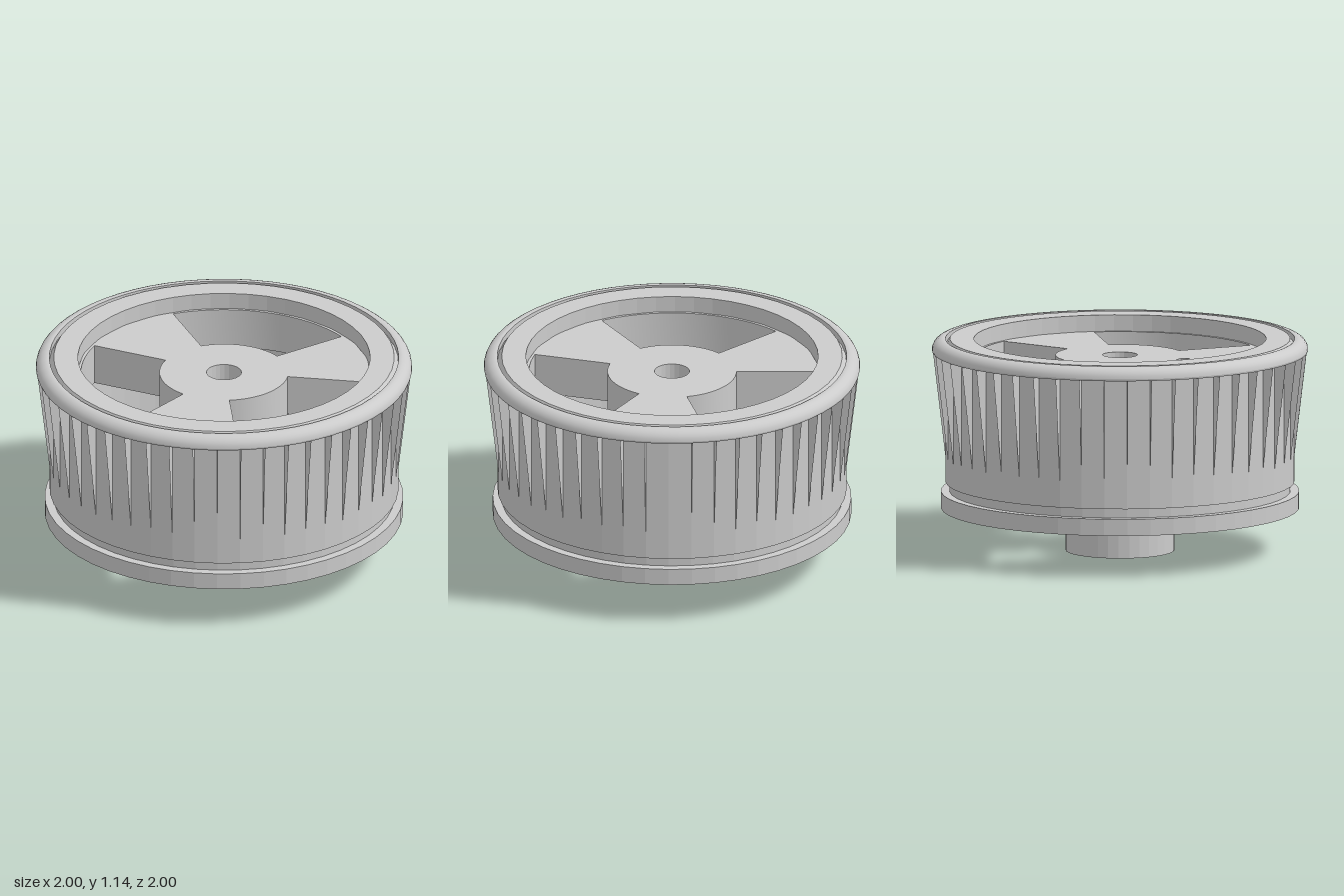
import * as THREE from 'three';
import { toCreasedNormals } from 'three/addons/utils/BufferGeometryUtils.js';

const material = new THREE.MeshStandardMaterial({ color: 0xcccccc });
const thinMaterial = new THREE.MeshStandardMaterial({ color: 0xcccccc, side: THREE.DoubleSide });

function part(name, geometry, crease) {
  const mesh = new THREE.Mesh(toCreasedNormals(geometry, crease), material);
  mesh.name = name;
  return mesh;
}

// Closed profile of [radius, height] pairs: up the outside, down the inside
function turned(name, profile, segments, crease) {
  const points = profile.map(([r, y]) => new THREE.Vector2(r, y));
  points.push(points[0].clone());
  return part(name, new THREE.LatheGeometry(points, segments), crease);
}

// Thin upright fins around the drum, each flaring out towards the rim
function finRing() {
  const group = new THREE.Group();
  group.name = 'gripFins';
  const outline = [[0.915, 0.45], [0.925, 0.48], [0.995, 1.075], [0.915, 1.075]];
  const geometry = new THREE.ShapeGeometry(
    new THREE.Shape(outline.map(([r, y]) => new THREE.Vector2(r, y))));
  const count = 48;
  for (let i = 0; i < count; i++) {
    const fin = new THREE.Mesh(geometry, thinMaterial);
    fin.name = 'gripFin';
    fin.rotation.y = (i / count) * Math.PI * 2;
    group.add(fin);
  }
  return group;
}

// Web plate with three sector openings and a central bore
function webGeometry() {
  const shape = new THREE.Shape();
  shape.absarc(0, 0, 0.78, 0, Math.PI * 2, false);
  const bore = new THREE.Path();
  bore.absarc(0, 0, 0.093, 0, Math.PI * 2, true);
  shape.holes.push(bore);
  const half = THREE.MathUtils.degToRad(38);
  for (let i = 0; i < 3; i++) {
    const mid = Math.PI / 3 + (i * Math.PI * 2) / 3;
    const opening = new THREE.Path();
    opening.absarc(0, 0, 0.76, mid - half, mid + half, false);
    opening.absarc(0, 0, 0.343, mid + half, mid - half, true);
    opening.closePath();
    shape.holes.push(opening);
  }
  const geometry = new THREE.ExtrudeGeometry(shape, { depth: 0.22, bevelEnabled: false, curveSegments: 12 });
  geometry.rotateX(-Math.PI / 2);
  geometry.translate(0, 0.83, 0);
  return geometry;
}

export function createModel() {
  const model = new THREE.Group();
  model.name = 'wheel';

  // Drum with base flange, neck and chamfered top lip
  model.add(turned('drum', [
    [0.777, 0.23], [0.953, 0.23], [0.953, 0.32], [0.907, 0.32], [0.907, 0.37],
    [0.928, 0.37], [0.928, 1.105], [0.905, 1.138], [0.777, 1.138],
  ], 48, 0.1));

  // Rounded bead around the top edge
  const bead = [[0.928, 1.07], [0.997, 1.07]];
  for (let i = 0; i <= 6; i++) {
    const a = (i / 6) * Math.PI / 2;
    bead.push([0.935 + 0.065 * Math.cos(a), 1.08 + 0.06 * Math.sin(a)]);
  }
  bead.push([0.928, 1.138]);
  model.add(turned('rimBead', bead, 64, 0.4));

  model.add(finRing());
  model.add(part('spokedWeb', webGeometry(), 0.1));

  // Lower hub boss with bore
  model.add(turned('hubBoss', [[0.093, 0], [0.29, 0], [0.29, 0.23], [0.093, 0.23]], 32, 0.1));

  return model;
}
